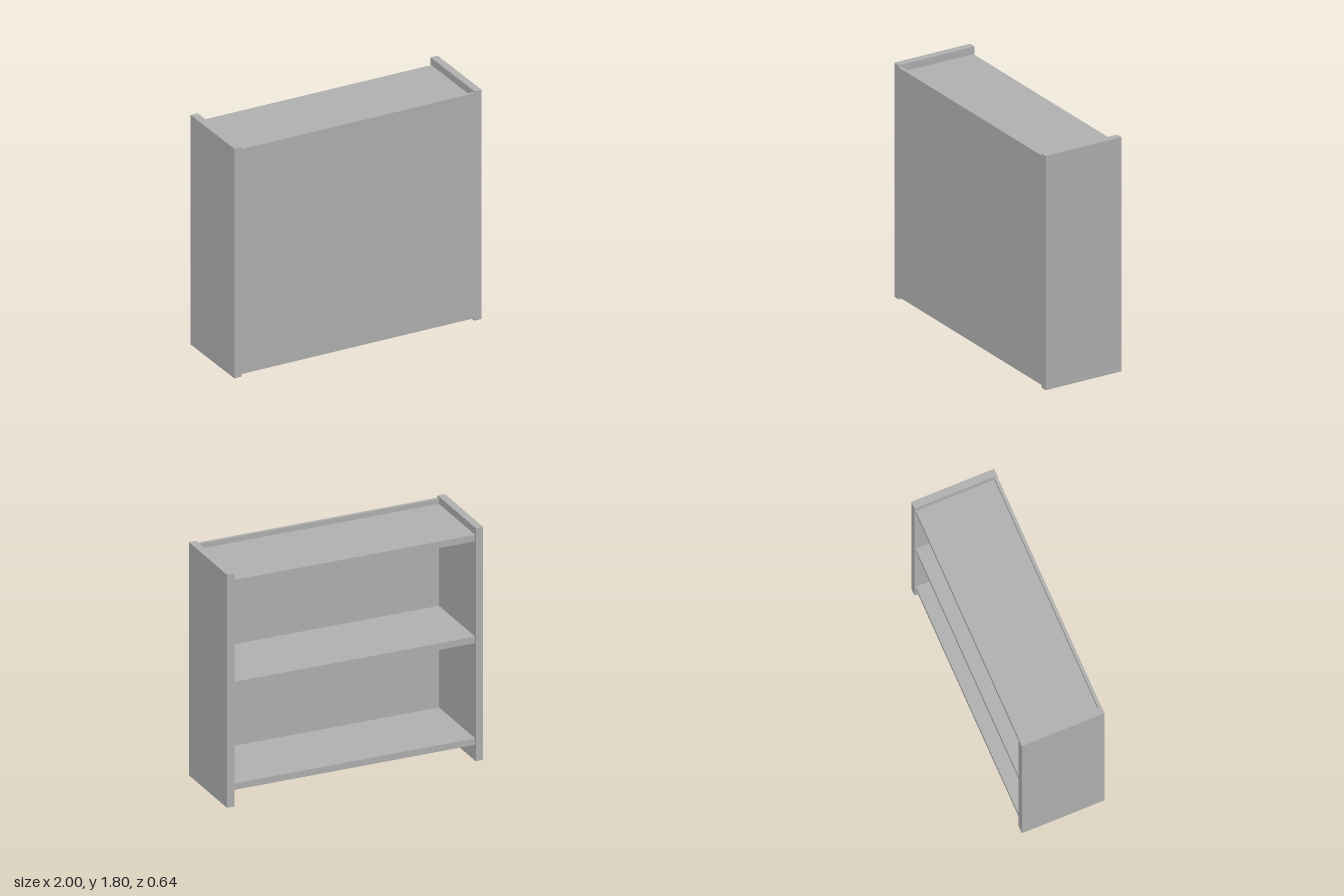
import * as THREE from 'three';

// Open shelf unit: two upright sides, a closed front panel and three shelves.
export function createModel() {
  const model = new THREE.Group();
  model.name = 'shelfUnit';
  const grey = new THREE.MeshStandardMaterial({ color: 0xb2b2b2 });
  grey.name = 'grey';

  // Box given by its lower and upper corners
  const addBoard = (name, [x0, y0, z0], [x1, y1, z1]) => {
    const board = new THREE.Mesh(new THREE.BoxGeometry(x1 - x0, y1 - y0, z1 - z0), grey);
    board.position.set((x0 + x1) / 2, (y0 + y1) / 2, (z0 + z1) / 2);
    board.name = name;
    model.add(board);
  };

  const height = 1.8, depth = 0.318;
  const inner = 0.943;      // inner face of the sides
  const panelBack = 0.295;  // inner face of the front panel
  const shelfThickness = 0.05;

  // Upright sides
  addBoard('leftSide', [inner, 0, -depth], [1, height, depth]);
  addBoard('rightSide', [-1, 0, -depth], [-inner, height, depth]);

  // Front panel, flush with the sides and a little short at top and bottom
  addBoard('frontPanel', [-inner, 0.02, panelBack], [inner, 1.784, depth]);

  // Shelves, set slightly in from the open back
  const shelfTops = { bottomShelf: 0.173, middleShelf: 0.958, topShelf: 1.744 };
  for (const [name, top] of Object.entries(shelfTops)) {
    addBoard(name, [-inner, top - shelfThickness, -0.308], [inner, top, panelBack]);
  }

  return model;
}
